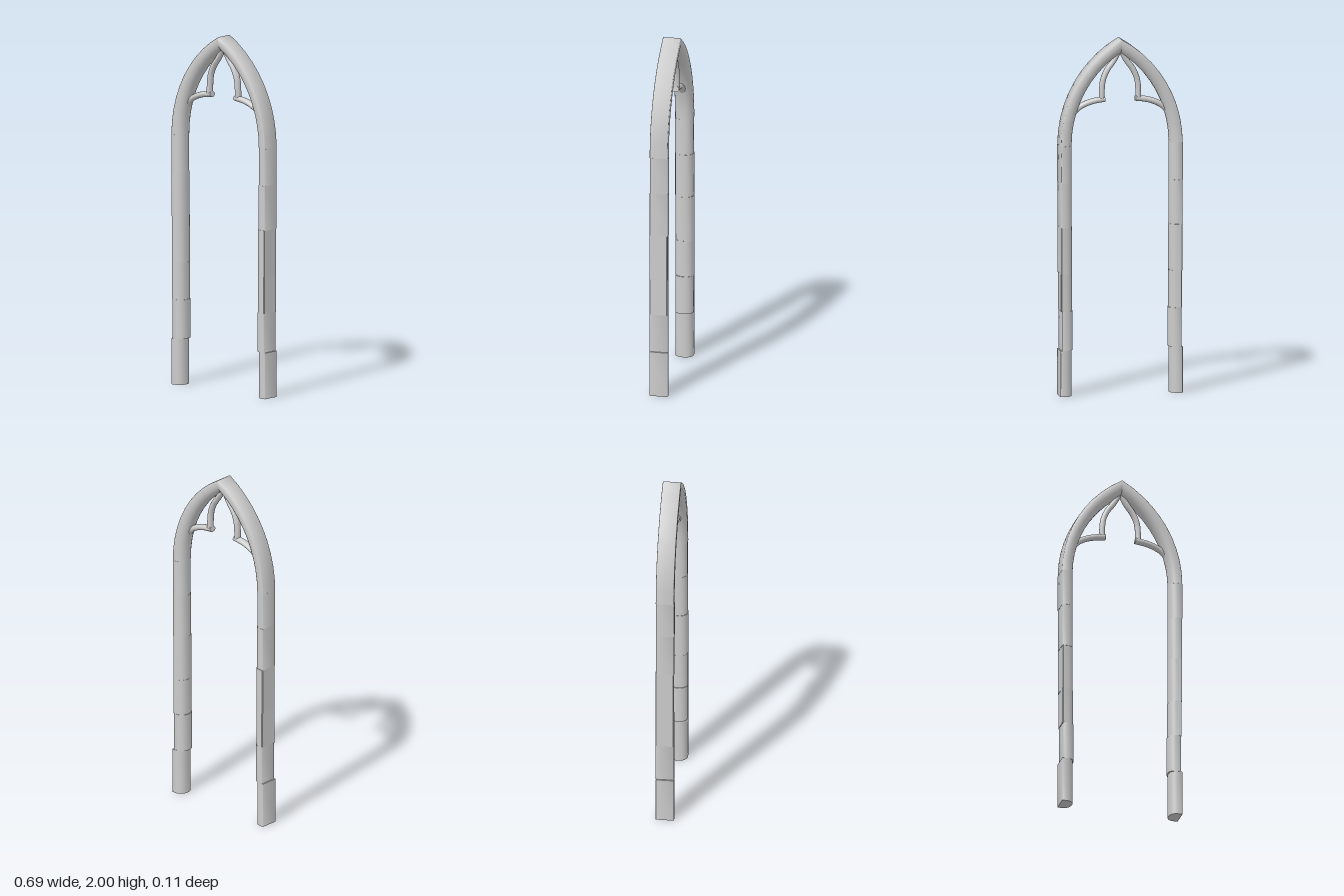
import * as THREE from 'three';
import { toCreasedNormals } from 'three/addons/utils/BufferGeometryUtils.js';
import { ParametricGeometry } from 'three/addons/geometries/ParametricGeometry.js';

const material = new THREE.MeshStandardMaterial({ color: 0xcccccc });
const SPRING = 1.41;      // height where the arch begins
const OFFSET = 0.332;     // arc centre lies this far beyond the middle
const MIDDLE = 0.3125;    // middle of the stone section in x

// Stone cross-section as [x, z]: flat outside with eased corners, rounded inside
const half = [[0.277, 0.012], [0.281, 0.026], [0.289, 0.038], [0.3, 0.046], [0.313, 0.051], [0.342, 0.051], [0.345, 0.048]];
const section = [...half, ...half.map(([x, z]) => [x, -z]).reverse()];

function mesh(geometry, name) {
  const m = new THREE.Mesh(geometry, material);
  m.name = name;
  return m;
}

// One stone of a leg, standing between two heights
function legStone(y0, y1, dx, dz, yaw, crease) {
  const shape = new THREE.Shape(section.map(([x, z]) => new THREE.Vector2(x - MIDDLE, z)));
  const g = new THREE.ExtrudeGeometry(shape, { depth: y1 - y0, bevelEnabled: false });
  g.rotateX(-Math.PI / 2);
  g.rotateY(yaw);
  g.translate(MIDDLE + dx, y0, dz);
  return mesh(toCreasedNormals(g, crease), 'legStone');
}

// Half of the pointed arch: the section swept round an arc and mitred at x = 0
function archHalf() {
  const n = section.length;
  const g = new ParametricGeometry((u, v, p) => {
    const [x, z] = section[Math.round(u * n) % n];
    const r = x + OFFSET;
    const angle = v * Math.acos(OFFSET / r);
    p.set(r * Math.cos(angle) - OFFSET, SPRING + r * Math.sin(angle), z);
  }, n, 10);
  return mesh(toCreasedNormals(g, 0.9), 'archHalf');
}

// A slim rounded bar of the tracery, following points in the xy plane
function traceryBar(points, radius, name) {
  const path = new THREE.CatmullRomCurve3(points.map(([x, y]) => new THREE.Vector3(x, y, 0)));
  const shape = new THREE.Shape().absarc(0, 0, radius, 0, Math.PI * 2);
  const g = new THREE.ExtrudeGeometry(shape, { steps: 14, curveSegments: 6, extrudePath: path });
  g.scale(1, 1, 1.3);
  return mesh(toCreasedNormals(g, 0.9), name);
}

function createSide(name) {
  const side = new THREE.Group();
  side.name = name;
  // Stones: bottom, top, shift in x, shift in z, yaw, crease angle
  const stones = [
    [0, 0.26, 0.001, 0, 0, 0.9],
    [0.26, 0.48, -0.007, 0.002, 0.01, 0.9],
    [0.48, 0.69, -0.003, 0.002, -0.02, 0.7],
    [0.69, 0.95, -0.002, 0.003, 0.015, 0.7],
    [0.95, 1.2, -0.001, 0, 0, 0.9],
    [1.2, SPRING, 0, -0.001, 0.02, 0.9],
  ];
  const leg = new THREE.Group();
  leg.name = 'leg';
  for (const s of stones) leg.add(legStone(...s));
  side.add(leg, archHalf());
  // Cusped tracery inside the arch
  side.add(
    traceryBar([[0.005, 1.935], [0.037, 1.875], [0.074, 1.824], [0.097, 1.767], [0.103, 1.71], [0.104, 1.655]], 0.016, 'tracerySideBar'),
    traceryBar([[0.086, 1.662], [0.15, 1.653], [0.205, 1.635], [0.243, 1.612], [0.275, 1.575]], 0.0165, 'traceryFoot'),
  );
  return side;
}

export function createModel() {
  const model = new THREE.Group();
  model.name = 'pointedArch';
  const right = createSide('rightSide');
  right.rotation.y = Math.PI;
  model.add(createSide('leftSide'), right);
  return model;
}
